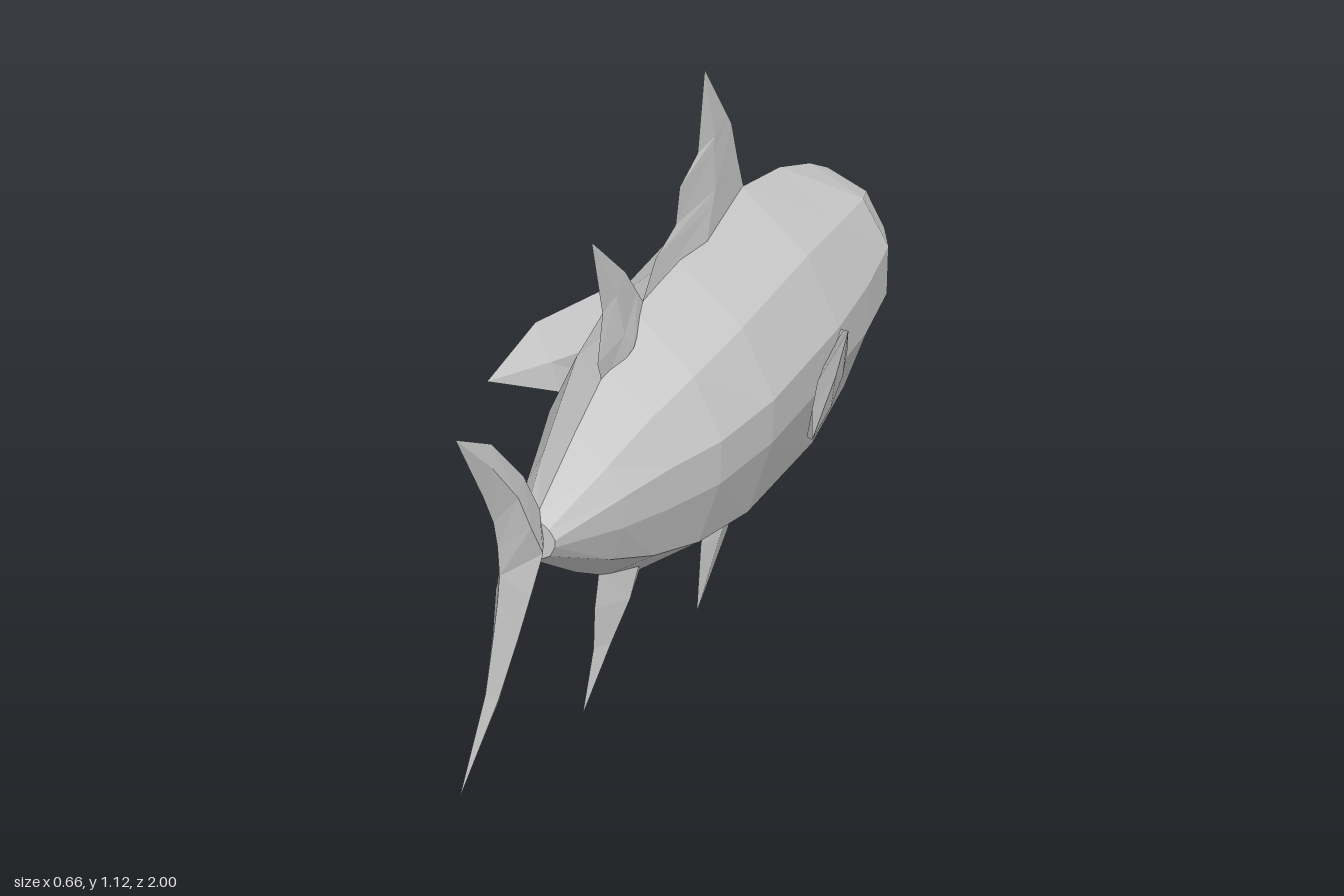
import * as THREE from 'three';

const skin = new THREE.MeshStandardMaterial({ color: 0xcccccc, flatShading: true });
skin.name = 'pale grey';

// Triangles for a grid of points given as rows
function sheet(rows, flip = false) {
  const out = [];
  const tri = (a, b, c) => out.push(...(flip ? [a, c, b] : [a, b, c]));
  for (let i = 0; i < rows.length - 1; i++) {
    for (let j = 0; j < rows[i].length - 1; j++) {
      const a = rows[i][j], b = rows[i + 1][j], c = rows[i][j + 1], d = rows[i + 1][j + 1];
      tri(a, b, c);
      tri(c, b, d);
    }
  }
  return out;
}

// Mirror image across x = 0, with corner order reversed
const mirror = (pts) => pts.map(([x, y, z]) => [-x, y, z]).reverse();

function mesh(name, pts) {
  const geo = new THREE.BufferGeometry();
  geo.setAttribute('position', new THREE.Float32BufferAttribute(pts.flat(), 3));
  geo.computeVertexNormals();
  const m = new THREE.Mesh(geo, skin);
  m.name = name;
  return m;
}

// Upright fin; each row: leading z,y, ridge z,y, half thickness, trailing z,y
function uprightFin(name, rows, downward = false) {
  const half = sheet(rows.map(([lz, ly, mz, my, t, tz, ty]) =>
    [[0, ly, lz], [t, my, mz], [0, ty, tz]]), downward);
  return mesh(name, [...half, ...mirror(half)]);
}
const tip = (z, y) => [z, y, z, y, 0, z, y];

function body() {
  // z, top, bottom, half width, then heights of upper, side and lower corners
  const sections = [
    [-0.86, 0.635, 0.335, 0.115, 0.60, 0.53, 0.44, 0.37],
    [-0.77, 0.685, 0.30, 0.16, 0.63, 0.54, 0.44, 0.37],
    [-0.62, 0.745, 0.23, 0.18, 0.65, 0.53, 0.43, 0.31],
    [-0.43, 0.79, 0.195, 0.197, 0.67, 0.53, 0.44, 0.28],
    [-0.10, 0.797, 0.195, 0.2, 0.67, 0.53, 0.44, 0.285],
    [0.10, 0.77, 0.225, 0.175, 0.655, 0.53, 0.44, 0.31],
    [0.25, 0.715, 0.285, 0.135, 0.63, 0.535, 0.45, 0.345],
    [0.40, 0.655, 0.36, 0.098, 0.595, 0.535, 0.47, 0.40],
    [0.60, 0.565, 0.475, 0.04, 0.545, 0.525, 0.51, 0.49],
  ];
  const rows = sections.map(([z, top, bottom, w, u, hi, lo, l]) => [
    [0, top, z], [w * 0.68, u, z], [w, hi, z], [w * 0.98, lo, z], [w * 0.73, l, z], [0, bottom, z],
  ]);
  const half = sheet(rows);

  // Snout, lower jaw and open mouth
  const [top, upper, sideHi, sideLo, lower, bottom] = rows[0];
  const nose = [0, 0.51, -1], chin = [0, 0.435, -0.98];
  const corner = [0.065, 0.465, -0.92], throat = [0, 0.46, -0.87];
  half.push(
    nose, top, upper, nose, upper, sideHi, nose, sideHi, corner,
    sideHi, sideLo, corner, corner, sideLo, chin,
    chin, sideLo, lower, chin, lower, bottom,
    nose, corner, throat, chin, throat, corner,
  );

  // Cap at the tail root
  const end = rows[rows.length - 1];
  for (let j = 1; j < end.length - 1; j++) half.push(end[0], end[j + 1], end[j]);
  return mesh('body', [...half, ...mirror(half)]);
}

function sideFins() {
  // Each row: upper edge, outer ridge, inner ridge, lower edge
  const rows = [
    [[0.16, 0.52, -0.46], [0.18, 0.485, -0.46], [0.15, 0.485, -0.40], [0.16, 0.45, -0.40]],
    [[0.20, 0.52, -0.445], [0.215, 0.49, -0.43], [0.19, 0.48, -0.38], [0.20, 0.44, -0.38]],
    [[0.245, 0.565, -0.36], [0.25, 0.49, -0.32], [0.215, 0.49, -0.28], [0.22, 0.42, -0.27]],
    [[0.305, 0.577, -0.15], [0.295, 0.51, -0.15], [0.265, 0.51, -0.13], [0.25, 0.445, -0.14]],
    Array(4).fill([0.33, 0.53, 0.03]),
  ];
  const pts = [
    ...sheet(rows.map(([up, outer, , low]) => [up, outer, low])),
    ...sheet(rows.map(([up, , inner, low]) => [up, inner, low]), true),
  ];
  return [mesh('leftSideFin', pts), mesh('rightSideFin', mirror(pts))];
}

export function createModel() {
  const fish = new THREE.Group();
  fish.name = 'fish';
  fish.add(body(), ...sideFins());

  // Back fins
  fish.add(uprightFin('frontBackFin', [
    [-0.45, 0.76, -0.2, 0.76, 0.02, 0.08, 0.76],
    [-0.42, 0.835, -0.25, 0.835, 0.014, 0, 0.835],
    [-0.41, 0.86, -0.27, 0.86, 0.012, -0.1, 0.86],
    [-0.38, 0.945, -0.27, 0.94, 0.008, -0.12, 0.93],
    [-0.365, 0.965, -0.28, 0.965, 0.007, -0.21, 0.96],
    tip(-0.245, 1.12),
  ]));
  fish.add(uprightFin('rearBackFin', [
    [0.05, 0.76, 0.17, 0.73, 0.025, 0.26, 0.68],
    [0.09, 0.805, 0.2, 0.77, 0.018, 0.29, 0.745],
    [0.15, 0.875, 0.22, 0.86, 0.01, 0.265, 0.84],
    tip(0.32, 1.015),
  ]));

  // Belly fins
  fish.add(uprightFin('frontBellyFin', [
    [-0.47, 0.24, -0.36, 0.24, 0.025, -0.25, 0.24],
    [-0.45, 0.195, -0.35, 0.19, 0.022, -0.25, 0.195],
    [-0.36, 0.105, -0.29, 0.12, 0.012, -0.225, 0.13],
    tip(-0.205, 0),
  ], true));
  fish.add(uprightFin('rearBellyFin', [
    [0.06, 0.27, 0.14, 0.33, 0.04, 0.28, 0.32],
    [0.08, 0.22, 0.2, 0.22, 0.03, 0.305, 0.24],
    [0.2, 0.155, 0.26, 0.15, 0.015, 0.31, 0.16],
    tip(0.365, 0.045),
  ], true));

  // Forked tail
  const tailRoot = [0.56, 0.525, 0.66, 0.525, 0.04, 0.78, 0.525];
  fish.add(uprightFin('upperTailFin', [
    tailRoot,
    [0.58, 0.575, 0.71, 0.6, 0.036, 0.79, 0.59],
    [0.66, 0.68, 0.75, 0.68, 0.026, 0.81, 0.65],
    [0.82, 0.82, 0.85, 0.785, 0.014, 0.86, 0.725],
    tip(1, 0.91),
  ]));
  fish.add(uprightFin('lowerTailFin', [
    tailRoot,
    [0.59, 0.47, 0.71, 0.46, 0.036, 0.79, 0.475],
    [0.68, 0.375, 0.75, 0.385, 0.026, 0.81, 0.415],
    [0.78, 0.265, 0.82, 0.285, 0.014, 0.85, 0.31],
    tip(0.98, 0.15),
  ], true));
  return fish;
}
